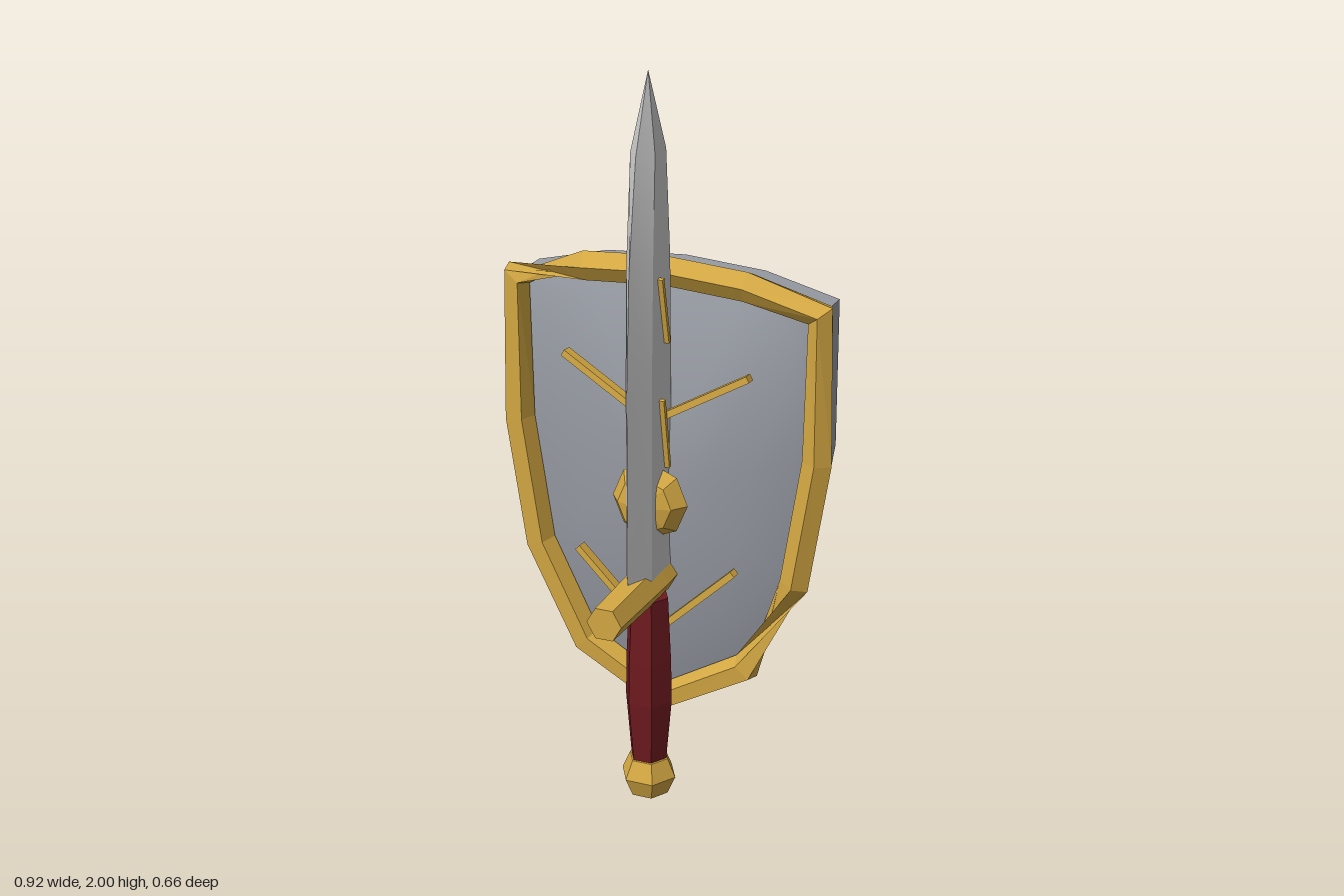
import * as THREE from 'three';
import { toCreasedNormals } from 'three/addons/utils/BufferGeometryUtils.js';

const V = (x, y, z) => new THREE.Vector3(x, y, z);
const material = (color, extra = {}) => new THREE.MeshStandardMaterial({ color, ...extra });

// Skin rings of points; rings run counter-clockwise seen from the next ring.
function loft(rings, { closed = false, caps = false } = {}) {
  const pos = [];
  const tri = (...pts) => pts.forEach(p => pos.push(p.x, p.y, p.z));
  const n = rings[0].length, last = rings.length - 1;
  for (let i = 0; i < (closed ? last + 1 : last); i++) {
    const A = rings[i], B = rings[(i + 1) % rings.length];
    for (let j = 0; j < n; j++) {
      const k = (j + 1) % n;
      tri(A[j], A[k], B[j]);
      tri(A[k], B[k], B[j]);
    }
  }
  if (caps) for (let j = 1; j < n - 1; j++) {
    tri(rings[0][0], rings[0][j + 1], rings[0][j]);
    tri(rings[last][0], rings[last][j], rings[last][j + 1]);
  }
  const g = new THREE.BufferGeometry();
  g.setAttribute('position', new THREE.Float32BufferAttribute(pos, 3));
  g.computeVertexNormals();
  return g;
}

// Rings of a polygonal tube along a flat path; up is normal to the path's plane.
function tubeRings(path, up, r, sides, closed, turn = () => 0) {
  const n = path.length;
  return path.map((p, i) => {
    const before = closed ? path[(i + n - 1) % n] : path[Math.max(i - 1, 0)];
    const after = closed ? path[(i + 1) % n] : path[Math.min(i + 1, n - 1)];
    const t1 = p.clone().sub(before).normalize(), t2 = after.clone().sub(p).normalize();
    const side = t1.add(t2).normalize().cross(up);
    return Array.from({ length: sides }, (_, j) => {
      const a = turn(i) - j / sides * Math.PI * 2;
      return p.clone().addScaledVector(side, r * Math.cos(a)).addScaledVector(up, r * Math.sin(a));
    });
  });
}

// Turned part with corners on the x axis.
function turned(profile, sides) {
  const pts = profile.map(([r, y]) => new THREE.Vector2(r, y));
  return new THREE.LatheGeometry(pts, sides).rotateY(Math.PI / 2);
}

export function createModel() {
  const model = new THREE.Group();
  model.name = 'swordAndShield';
  const gold = material(0xd4a843, { flatShading: true });
  const goldRim = material(0xd4a843, { flatShading: true, side: THREE.DoubleSide });
  const red = material(0x6e1a1f, { flatShading: true });
  const steel = material(0xcccccc);
  const shieldSteel = material(0x989ca4);

  const add = (name, geometry, mat, x = 0, y = 0, z = 0) => {
    const mesh = new THREE.Mesh(geometry, mat);
    mesh.name = name;
    mesh.position.set(x, y, z);
    model.add(mesh);
    return mesh;
  };
  const bar = (name, a, b, w, d) => {
    const mesh = add(name, new THREE.BoxGeometry(w, a.distanceTo(b), d), gold);
    mesh.position.copy(a).lerp(b, 0.5);
    mesh.quaternion.setFromUnitVectors(V(0, 1, 0), b.clone().sub(a).normalize());
  };

  // Shield outline, counter-clockwise from the bottom tip
  const half = [[0.23, 0.38], [0.365, 0.65], [0.42, 1.0], [0.42, 1.395], [0.22, 1.445]];
  const outline = [[0, 0.25], ...half, [0, 1.46], ...half.map(([x, y]) => [-x, y]).reverse()];

  // Shield body: slightly bulged back, straight edge, domed front
  const layers = [[0, -0.21], [1, -0.2], [1, -0.1], [0.85, -0.07], [0.6, -0.035], [0.3, -0.01], [0, 0]];
  const shield = loft(layers.map(([s, z]) => outline.map(([x, y]) => V(x * s, 0.9 + (y - 0.9) * s, z))));
  add('shieldBody', toCreasedNormals(shield, 0.5), shieldSteel);

  // Five-sided rim, turned half round along the lower-left part
  const rimPath = outline.map(([x, y]) => V(x, y, -0.067));
  const rimTurn = i => 0.24 + (i < 2 || i > 7 ? Math.PI : 0);
  add('shieldRim', loft(tubeRings(rimPath, V(0, 0, 1), 0.041, 5, true, rimTurn), { closed: true }), goldRim);

  // Boss with a small stud
  const boss = turned([[0, 0], [0.06, 0.005], [0.105, 0.035], [0.075, 0.075], [0.04, 0.085], [0, 0.085]], 8);
  add('shieldBoss', boss.rotateX(Math.PI / 2), gold, 0, 0.865, 0);
  add('bossStud', new THREE.OctahedronGeometry(0.024), gold, 0, 0.865, 0.1);

  // Raised rays on the shield front
  for (const s of [1, -1]) {
    bar('upperRay', V(0, 1.08, 0.018), V(s * 0.255, 1.225, -0.003), 0.018, 0.03);
    bar('lowerRay', V(0, 0.475, 0.01), V(s * 0.22, 0.682, -0.003), 0.018, 0.03);
  }

  // Arm grip on the shield back
  const gripPath = [V(-0.128, 0.865, -0.19), V(-0.125, 0.865, -0.31), V(0.125, 0.865, -0.31), V(0.128, 0.865, -0.19)];
  add('armGrip', loft(tubeRings(gripPath, V(0, 1, 0), 0.027, 6, false), { caps: true }), red);

  // Sword, edge-on to the front
  const sword = 0.045;
  const stations = [[0.62, 0.135, 0.036], [1.2, 0.137, 0.036], [1.52, 0.12, 0.036], [1.8, 0.077, 0.033], [2, 0, 0]];
  const blade = loft(stations.map(([y, w, t]) => [
    V(0, y, w), V(t, y, w * 0.45), V(t, y, -w * 0.45), V(0, y, -w), V(-t, y, -w * 0.45), V(-t, y, w * 0.45),
  ]), { caps: true });
  add('blade', toCreasedNormals(blade, 0.4), steel, 0, 0, sword);

  // Inlay strips on the blade's left face
  bar('bladeStrip', V(0.042, 1.3, 0.022), V(0.042, 1.48, 0.065), 0.014, 0.012);
  bar('bladeStrip', V(0.042, 0.96, 0.018), V(0.042, 1.155, 0.055), 0.014, 0.012);

  // Hilt
  const guard = turned([[0, -0.288], [0.048, -0.288], [0.055, 0], [0.048, 0.288], [0, 0.288]], 6);
  add('crossGuard', guard.rotateX(Math.PI / 2), gold, 0, 0.64, 0.042);
  add('handle', turned([[0, 0.1], [0.05, 0.12], [0.066, 0.3], [0.064, 0.42], [0.055, 0.6], [0, 0.6]], 6), red, 0, 0, sword);
  add('pommel', new THREE.SphereGeometry(0.077, 6, 4).scale(1, 0.95, 1), gold, 0, 0.073, sword);

  return model;
}
